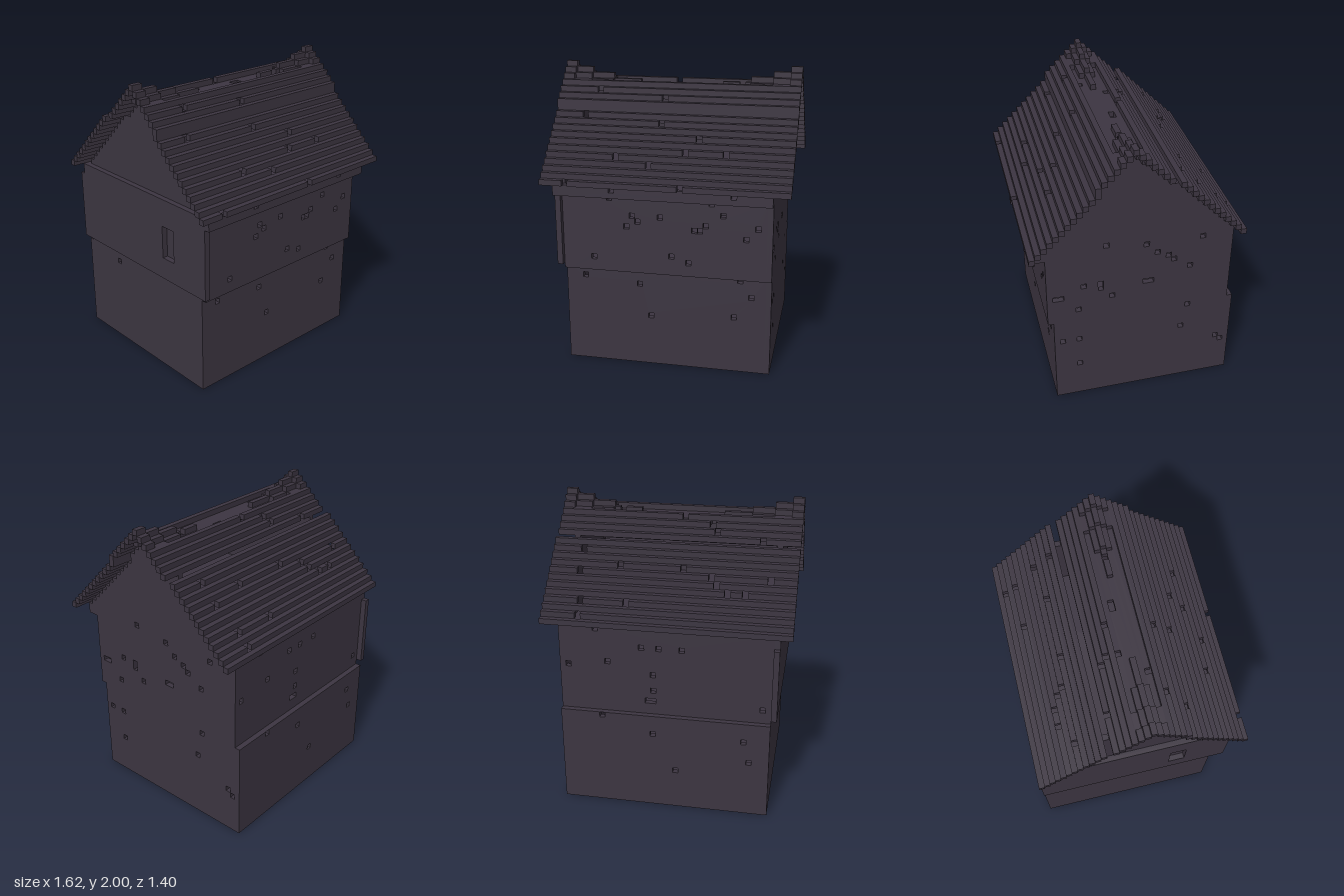
import * as THREE from 'three';

// All sizes are in blocks; the whole house is 53 blocks tall.
const BLOCK = 2 / 53;

const darkTimber = new THREE.MeshStandardMaterial({ color: 0x3c3541 });

function box(name, x0, x1, y0, y1, z0, z1) {
  const mesh = new THREE.Mesh(new THREE.BoxGeometry(x1 - x0, y1 - y0, z1 - z0), darkTimber);
  mesh.position.set((x0 + x1) / 2, (y0 + y1) / 2, (z0 + z1) / 2);
  mesh.name = name;
  return mesh;
}

// One-block-thick wall; each hole is [column, row, width, height]
function wallGeometry(outline, holes) {
  const shape = new THREE.Shape(outline.map(([a, b]) => new THREE.Vector2(a, b)));
  const e = 0.02;
  for (const [c, r, w = 1, h = 1] of holes) {
    const a0 = c - 0.5 + e, a1 = c - 0.5 + w - e, b0 = r + e, b1 = r + h - e;
    shape.holes.push(new THREE.Path([
      new THREE.Vector2(a0, b0), new THREE.Vector2(a0, b1),
      new THREE.Vector2(a1, b1), new THREE.Vector2(a1, b0),
    ]));
  }
  return new THREE.ExtrudeGeometry(shape, { depth: 1, bevelEnabled: false });
}

// Wall facing front or back, between the side walls
function crossWall(name, y0, y1, z0, holes) {
  const w = 17.5;
  const geo = wallGeometry([[-w, y0], [w, y0], [w, y1], [-w, y1]], holes);
  const mesh = new THREE.Mesh(geo.translate(0, 0, z0), darkTimber);
  mesh.name = name;
  return mesh;
}

// Wall facing left or right; outline is given in (z, y)
function sideWall(name, outline, x0, holes) {
  const geo = wallGeometry(outline, holes).rotateY(-Math.PI / 2).translate(x0 + 1, 0, 0);
  const mesh = new THREE.Mesh(geo, darkTimber);
  mesh.name = name;
  return mesh;
}

// Side profile: lower storey, shifted upper storey, eave and stepped gable
function sideOutline() {
  const pts = [[-18.5, 0], [14.5, 0], [14.5, 18], [15.5, 18], [15.5, 32], [17.5, 32], [17.5, 34]];
  const front = (y) => (y <= 45 ? 50 - y : 51 - y) + 0.5;
  const back = (y) => (y <= 45 ? y - 50 : y - 49) - 0.5;
  for (let y = 34; y <= 50; y++) pts.push([front(y), y], [front(y), y + 1]);
  for (let y = 50; y >= 34; y--) pts.push([back(y), y + 1], [back(y), y]);
  pts.push([-17.5, 34], [-17.5, 18], [-18.5, 18]);
  return pts;
}

// Height of a roof board; the ridge sags in steps towards the middle
function boardBottom(x, z) {
  const base = z >= 7 ? 52 - z : z >= 1 ? 53 - z : z >= -5 ? z + 51 : z + 52;
  if (z < -1 || z > 3) return base;
  const sag = [19.5, 16.5, 12.5, 7.5].filter((limit) => Math.abs(x) < limit).length;
  return Math.max(base - sag, 48);
}

// Missing roof blocks as [x, z]
const roofPits = [
  [15, -17], [15, -15], [7, -15], [-13, -13], [-10, -13], [-8, -12], [-7, -11], [-17, -11],
  [-2, -10], [9, -10], [16, -11], [16, -8], [-15, -5], [-7, -4], [-6, -3], [-1, -2], [-6, -1],
  [-10, 3], [2, 0], [3, 0], [11, 1], [-14, 5], [-2, 6], [-16, 8], [-2, 9], [5, 11],
  [3, 13], [10, 13], [-9, 14], [-3, 15], [-17, 18], [3, 18],
];

function createRoof() {
  const roof = new THREE.Group();
  roof.name = 'roof';
  for (let z = -18; z <= 18; z++) {
    if (z === -6) continue; // the lost board in the back slope
    const isPit = (x) => roofPits.some(([px, pz]) => px === x && pz === z);
    let start = -21;
    for (let x = -21; x <= 21; x++) {
      if (isPit(x)) { start = x + 1; continue; }
      const y = boardBottom(x, z);
      if (x === 21 || isPit(x + 1) || boardBottom(x + 1, z) !== y) {
        const top = y + (z === 7 ? 2 : 1);
        roof.add(box('roofBoard', start - 0.5, x + 0.5, y, top, z - 0.5, z + 0.5));
        start = x + 1;
      }
    }
  }
  return roof;
}

export function createModel() {
  const house = new THREE.Group();
  house.name = 'house';

  // Floors
  house.add(
    box('groundFloor', -17.5, 17.5, 0, 1, -17.5, 13.5),
    box('upperFloor', -17.5, 17.5, 18, 19, -16.5, 14.5),
    box('atticFloor', -17.5, 17.5, 32, 33, -16.5, 16.5),
  );

  // Front and back walls
  house.add(
    crossWall('lowerFrontWall', 0, 18, 13.5,
      [[-15, 16], [-5, 15], [13, 17], [15, 14], [12, 10], [-3, 9]]),
    crossWall('upperFrontWall', 18, 32, 14.5,
      [[-10, 31], [-6, 28], [-5, 27], [-7, 26], [-1, 28], [1, 21], [4, 20], [-13, 20],
        [5, 26], [6, 26], [7, 27], [8, 31], [10, 29], [14, 25], [16, 27]]),
    crossWall('frontEaveBeam', 32, 34, 16.5, [[-9, 33], [12, 33]]),
    crossWall('lowerBackWall', 0, 18, -18.5,
      [[11, 17], [2, 14], [-14, 14], [-2, 7], [-15, 10]]),
    crossWall('upperBackWall', 18, 34, -17.5,
      [[17, 26], [10, 27], [4, 30], [1, 30], [-3, 30], [2, 25], [2, 22], [2, 20, 2, 1],
        [-17, 20], [12, 33]]),
  );

  // Gable walls
  const profile = sideOutline();
  house.add(
    sideWall('leftGableWall', profile, 17.5,
      [[5, 33], [-2, 32], [-4, 30], [-6, 29], [-7, 28], [-12, 32], [9, 25], [6, 24, 1, 2],
        [13, 23, 2, 1], [-3, 24, 2, 1], [4, 22], [-10, 26], [10, 20], [13, 13], [10, 13],
        [10, 7], [-10, 17], [-9, 12], [-16, 8], [-17, 7]]),
    sideWall('rightGableWall', profile, -18.5, [[-9, 16]]),
  );

  // Overhanging cladding on the right side, with its window recess
  const cladding = [[-18.5, 19], [16.5, 19], [16.5, 32], [17.5, 32], [17.5, 34],
    [-17.5, 34], [-17.5, 32], [-18.5, 32]];
  house.add(sideWall('rightCladding', cladding, -19.5, [[6, 23, 3, 6]]));

  house.add(createRoof());

  house.scale.setScalar(BLOCK);
  const model = new THREE.Group();
  model.name = 'timberHouse';
  model.add(house);
  return model;
}
